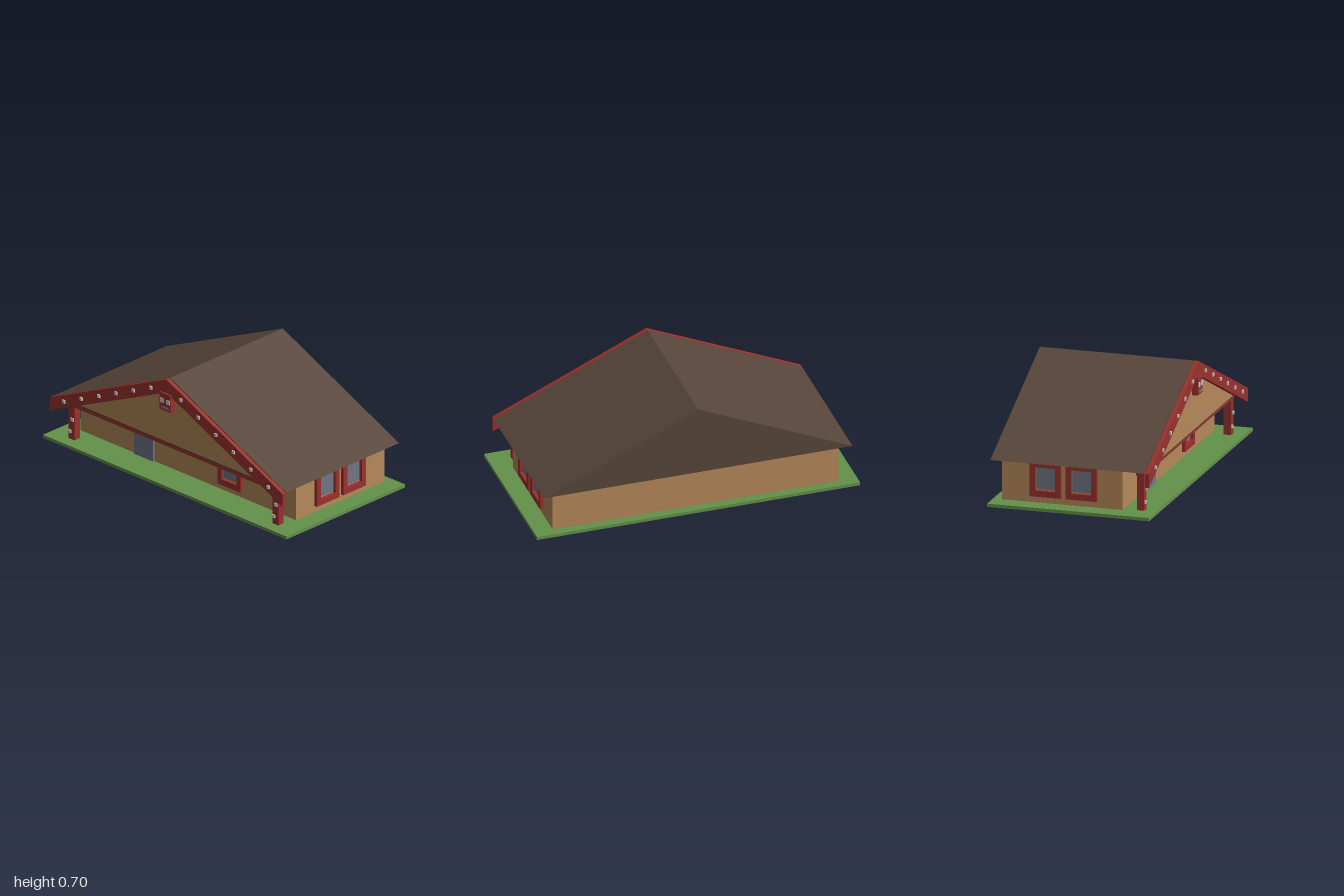
import * as THREE from 'three';

const mat = (name, color) => {
  const m = new THREE.MeshStandardMaterial({ color });
  m.name = name;
  return m;
};

export function createModel() {
  const house = new THREE.Group();
  house.name = 'meetingHouse';

  const grass = mat('grassGreen', 0x64914a);
  const tan = mat('wallTan', 0xb6895a);
  const red = mat('carvedRed', 0x9a312d);
  const brown = mat('roofBrown', 0x57463a);
  const glass = mat('glassGrey', 0x727786);
  const shell = mat('shellGrey', 0xcbc8c2);

  // Box given by its limits on each axis
  const box = (name, material, [x0, x1], [y0, y1], [z0, z1], parent = house) => {
    const mesh = new THREE.Mesh(new THREE.BoxGeometry(x1 - x0, y1 - y0, z1 - z0), material);
    mesh.position.set((x0 + x1) / 2, (y0 + y1) / 2, (z0 + z1) / 2);
    mesh.name = name;
    parent.add(mesh);
    return mesh;
  };

  // Flat outline in x and y, extruded from z0 to z1
  const slab = (name, material, points, z0, z1, hole, parent = house) => {
    const shape = new THREE.Shape(points.map(p => new THREE.Vector2(...p)));
    if (hole) shape.holes.push(new THREE.Path(hole.map(p => new THREE.Vector2(...p))));
    const geo = new THREE.ExtrudeGeometry(shape, { depth: z1 - z0, bevelEnabled: false });
    const mesh = new THREE.Mesh(geo, material);
    mesh.position.z = z0;
    mesh.name = name;
    parent.add(mesh);
    return mesh;
  };

  const rect = (w, y0, y1) => [[-w, y0], [w, y0], [w, y1], [-w, y1]];

  // Lawn and walls
  box('lawn', grass, [-1, 1], [0, 0.02], [-0.5, 0.5]);
  box('walls', tan, [-0.885, 0.885], [0.02, 0.276], [-0.445, 0.3]);

  // Solid gabled roof and front gable panel
  const eave = 0.955, eaveY = 0.275, ridgeY = 0.705;
  slab('roof', brown, [[-eave, eaveY], [eave, eaveY], [0, ridgeY]], -0.495, 0.455);
  slab('gablePanel', tan, [[-0.78, 0.285], [0.78, 0.285], [0, 0.635]], 0.455, 0.46);

  // Bargeboards along the front roof edge
  const drop = 0.085;
  slab('bargeboards', red, [
    [-eave, eaveY - drop], [0, ridgeY - drop], [eave, eaveY - drop],
    [eave, eaveY], [0, ridgeY], [-eave, eaveY],
  ], 0.46, 0.485);

  // Pale studs, two mirrored rows of six
  for (const side of [-1, 1]) {
    for (let i = 0; i < 6; i++) {
      const x = side * (0.123 + i * 0.1434), y = 0.612 - i * 0.0655;
      box('bargeStud', shell, [x - 0.01, x + 0.01], [y - 0.01, y + 0.01], [0.484, 0.494]);
    }
  }

  // Carved face at the apex
  box('carvedHead', red, [-0.045, 0.045], [0.505, 0.615], [0.46, 0.496]);
  for (const x of [-0.025, 0.025]) {
    box('eye', shell, [x - 0.014, x + 0.014], [0.553, 0.581], [0.495, 0.5]);
  }
  box('mouth', glass, [-0.027, 0.027], [0.516, 0.53], [0.495, 0.5]);

  // Porch beam and studded posts
  box('porchBeam', red, [-0.87, 0.87], [0.235, 0.275], [0.378, 0.428]);
  for (const x of [-0.837, 0.837]) {
    box('porchPost', red, [x - 0.024, x + 0.024], [0.02, 0.236], [0.38, 0.425]);
    for (const [dx, y] of [[0.008, 0.15], [-0.011, 0.07]]) {
      box('postStud', shell, [x + dx - 0.011, x + dx + 0.011], [y - 0.01, y + 0.01], [0.424, 0.433]);
    }
  }

  // Door
  box('door', glass, [-0.433, -0.28], [0.02, 0.25], [0.299, 0.312]);

  // Framed window facing +z, then turned to its wall
  const addWindow = (x, z, turn) => {
    const win = new THREE.Group();
    win.name = 'window';
    slab('windowFrame', red, rect(0.095, 0.06, 0.2745), 0, 0.02, rect(0.061, 0.097, 0.24), win);
    box('windowPane', glass, [-0.057, 0.057], [0.106, 0.238], [-0.001, 0.005], win);
    win.position.set(x, 0, z);
    win.rotation.y = turn;
    house.add(win);
  };
  addWindow(0.353, 0.3, 0);
  for (const side of [-1, 1]) {
    for (const z of [0.049, -0.173]) addWindow(side * 0.885, z, side * Math.PI / 2);
  }

  return house;
}
